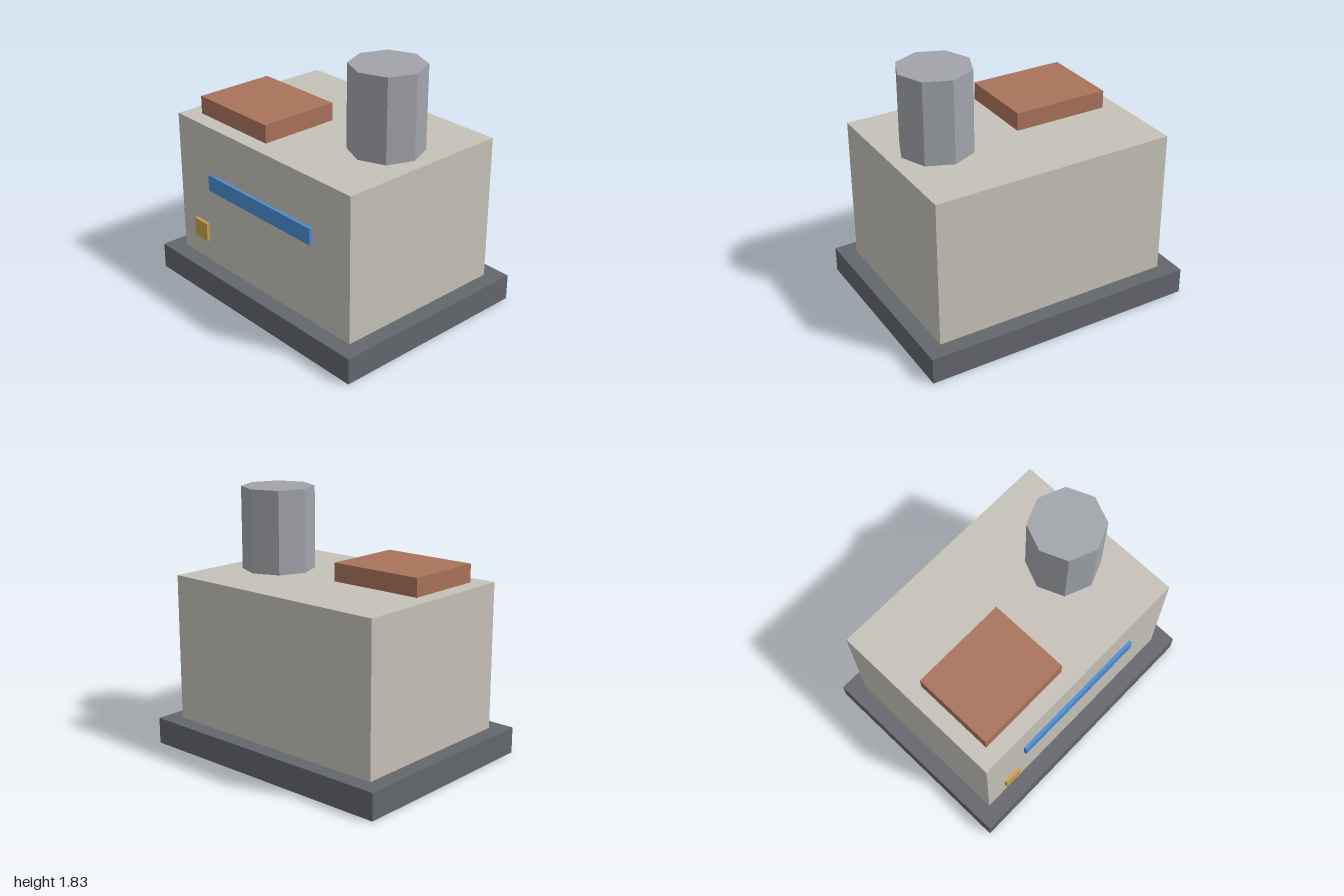
import * as THREE from 'three';

const material = (name, color) => {
  const m = new THREE.MeshStandardMaterial({ color });
  m.name = name;
  return m;
};

export function createModel() {
  const group = new THREE.Group();
  group.name = 'machineHouse';

  const darkGrey = material('dark grey', 0x63666c);
  const stone = material('warm grey', 0xc5c1b8);
  const rust = material('rust', 0xa9725a);
  const steel = material('steel grey', 0xa1a4aa);
  const blue = material('blue', 0x4a8ccf);
  const ochre = material('ochre', 0xc9a04e);

  // Box given by its minimum and maximum corners
  const box = (name, mat, [x0, y0, z0], [x1, y1, z1]) => {
    const mesh = new THREE.Mesh(new THREE.BoxGeometry(x1 - x0, y1 - y0, z1 - z0), mat);
    mesh.position.set((x0 + x1) / 2, (y0 + y1) / 2, (z0 + z1) / 2);
    mesh.name = name;
    group.add(mesh);
  };

  box('base', darkGrey, [-1, 0, -0.765], [1, 0.188, 0.765]);
  box('body', stone, [-0.882, 0.188, -0.647], [0.882, 1.238, 0.647]);
  box('roofHatch', rust, [-0.765, 1.238, -0.06], [-0.06, 1.368, 0.53]);
  box('frontStripe', blue, [-0.53, 0.768, 0.647], [0.53, 0.887, 0.67]);
  box('frontPanel', ochre, [-0.718, 0.345, 0.647], [-0.58, 0.485, 0.67]);

  // Eight-sided chimney, flat shaded
  const stackGeometry = new THREE.CylinderGeometry(0.259, 0.259, 0.59, 8).toNonIndexed();
  stackGeometry.computeVertexNormals();
  const chimney = new THREE.Mesh(stackGeometry, steel);
  chimney.position.set(0.529, 1.238 + 0.295, 0);
  chimney.name = 'chimney';
  group.add(chimney);

  return group;
}
